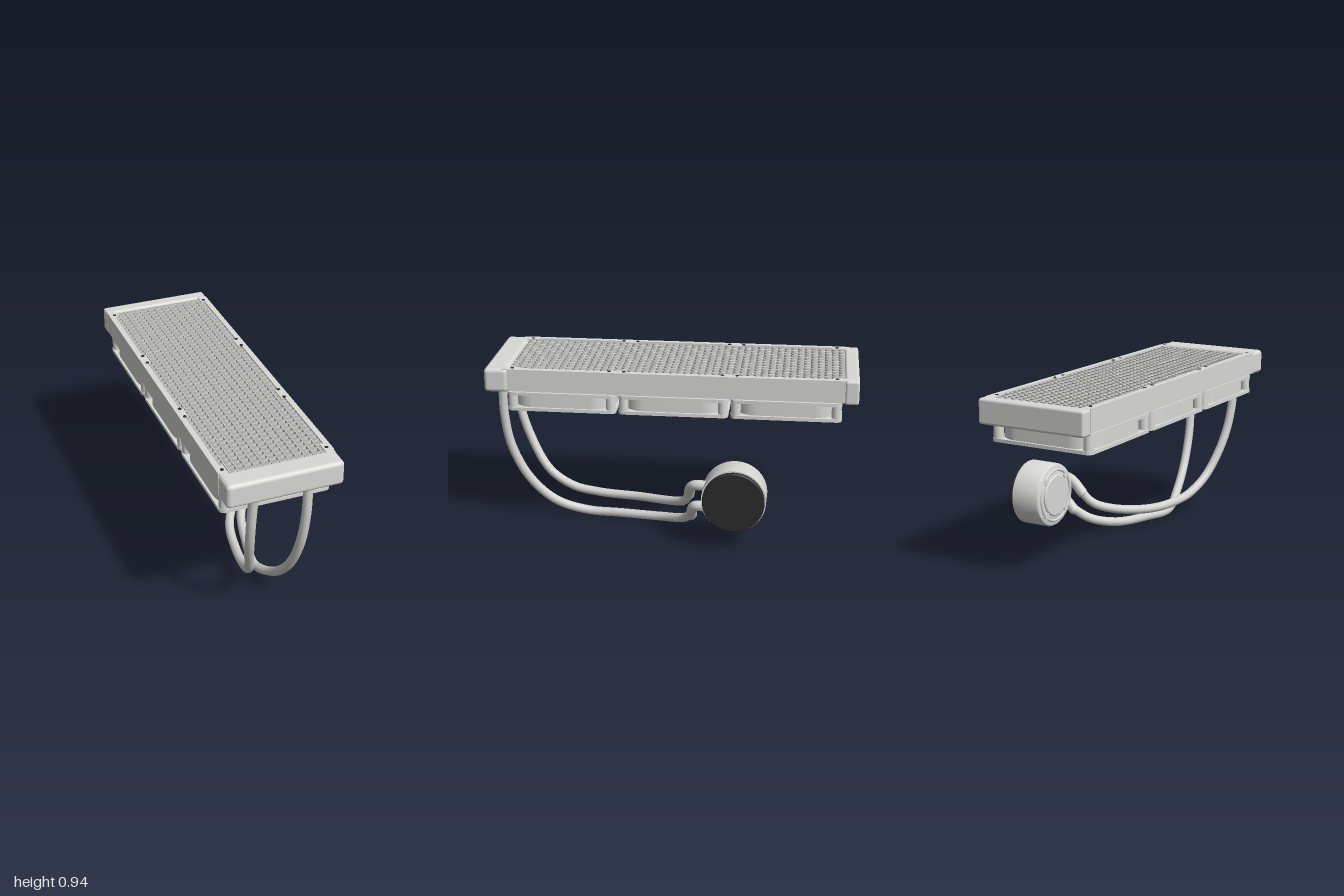
import * as THREE from 'three';
import { toCreasedNormals } from 'three/addons/utils/BufferGeometryUtils.js';
import { RoundedBoxGeometry } from 'three/addons/geometries/RoundedBoxGeometry.js';

const CX = -0.078;                       // centre line of radiator and fans
const FAN_Z = [0.585, -0.018, -0.62];

const shell = new THREE.MeshStandardMaterial({ name: 'pale grey', color: 0xd9d9d6 });
const sheet = new THREE.MeshStandardMaterial({ name: 'pale grey sheet', color: 0xd2d2cf, side: THREE.DoubleSide });
const dark = new THREE.MeshStandardMaterial({ name: 'charcoal', color: 0x2c2c2c });
const teal = new THREE.MeshStandardMaterial({ name: 'teal', color: 0x1f7f7a });

function add(parent, name, geometry, material, x = 0, y = 0, z = 0) {
  const mesh = new THREE.Mesh(geometry, material);
  mesh.name = name;
  mesh.position.set(x, y, z);
  parent.add(mesh);
  return mesh;
}

function box(parent, name, w, h, d, x, y, z, material = shell) {
  return add(parent, name, new THREE.BoxGeometry(w, h, d), material, x, y, z);
}

// Solid of revolution from [radius, height] pairs
function lathe(pairs, segments = 40) {
  const points = pairs.map(([r, h]) => new THREE.Vector2(r, h));
  return toCreasedNormals(new THREE.LatheGeometry(points, segments), 0.6);
}

// Rounded square with a round hole, lying flat with its base at y = 0
function squarePlate(half, corner, hole, height) {
  const s = new THREE.Shape(), a = half - corner;
  s.absarc(a, a, corner, 0, Math.PI / 2);
  s.absarc(-a, a, corner, Math.PI / 2, Math.PI);
  s.absarc(-a, -a, corner, Math.PI, Math.PI * 1.5);
  s.absarc(a, -a, corner, Math.PI * 1.5, Math.PI * 2);
  s.holes.push(new THREE.Path().absarc(0, 0, hole, 0, Math.PI * 2, true));
  const g = new THREE.ExtrudeGeometry(s, { depth: height, bevelEnabled: false, curveSegments: 24 });
  return toCreasedNormals(g.rotateX(-Math.PI / 2), 0.6);
}

// Curved sheet swept from the hub to the ring
function bladeGeometry(r0, r1, sweep, width, y0, y1) {
  const g = new THREE.PlaneGeometry(1, 1, 8, 4), p = g.attributes.position;
  for (let i = 0; i < p.count; i++) {
    const t = p.getX(i) + 0.5, v = p.getY(i) + 0.5;
    const r = r0 + (r1 - r0) * t;
    const a = sweep * t + (v - 0.5) * width;
    p.setXYZ(i, r * Math.cos(a), y0 + (y1 - y0) * v, r * Math.sin(a));
  }
  g.computeVertexNormals();
  return g;
}

function makeRadiator() {
  const radiator = new THREE.Group();
  radiator.name = 'radiator';

  // End tanks
  add(radiator, 'frontTank', new RoundedBoxGeometry(0.616, 0.132, 0.128, 4, 0.022), shell, CX, 0.879, 0.936);
  add(radiator, 'backTank', new RoundedBoxGeometry(0.616, 0.132, 0.075, 4, 0.014), shell, CX, 0.879, -0.9625);

  // Side rails with folded lips and screw tabs
  const midZ = -0.0275, length = 1.8;
  for (const s of [-1, 1]) {
    box(radiator, 'sideRail', 0.012, 0.122, length, CX + s * 0.299, 0.884, midZ);
    for (const y of [0.827, 0.941])
      box(radiator, 'railLip', 0.03, 0.008, length, CX + s * 0.29, y, midZ);
    for (const z of [0.855, 0.284, -0.319, -0.905])
      box(radiator, 'screwTab', 0.045, 0.006, 0.09, CX + s * 0.278, 0.942, z);
    for (const fz of FAN_Z) for (const dz of [-0.262, 0.262])
      add(radiator, 'screw', new THREE.CylinderGeometry(0.01, 0.01, 0.004, 12), dark, CX + s * 0.275, 0.945, fz + dz);
  }

  // Flat water channels with folded fins between them
  const gaps = 13, pitch = 0.572 / gaps, finH = 0.1, finY = 0.884, folds = 96;
  let fin = new THREE.PlaneGeometry(length, finH, folds, 1).rotateY(Math.PI / 2);
  const p = fin.attributes.position;
  for (let i = 0; i < p.count; i++)
    p.setX(i, ((i % (folds + 1)) % 2 ? 0.5 : -0.5) * pitch);
  fin = fin.toNonIndexed();
  fin.computeVertexNormals();
  const channel = new THREE.BoxGeometry(0.004, finH, length);
  for (let i = 0; i < gaps; i++) {
    const x = CX - 0.286 + pitch * (i + 0.5);
    add(radiator, 'foldedFin', fin, sheet, x, finY, midZ);
    if (i) add(radiator, 'waterChannel', channel, shell, x - pitch / 2, finY, midZ);
  }
  return radiator;
}

function makeFan(z) {
  const fan = new THREE.Group();
  fan.name = 'fan';
  fan.position.set(CX, 0.71, z);

  // Frame: two flanges, a recessed wall, and corner posts
  const flange = squarePlate(0.295, 0.03, 0.272, 0.018);
  add(fan, 'lowerFlange', flange, shell, 0, 0, 0);
  add(fan, 'upperFlange', flange, shell, 0, 0.086, 0);
  add(fan, 'frameWall', squarePlate(0.282, 0.13, 0.27, 0.07), shell, 0, 0.017, 0);
  const post = new THREE.CylinderGeometry(0.026, 0.026, 0.07, 16);
  for (const sx of [-1, 1]) for (const sz of [-1, 1])
    add(fan, 'cornerPost', post, shell, sx * 0.266, 0.052, sz * 0.266);

  // Hub cup with its dark cap, circuit plate and chip
  add(fan, 'hub', lathe([[0, 0.014], [0.085, 0.014], [0.095, 0.024], [0.095, 0.09],
    [0.068, 0.09], [0.066, 0.072], [0, 0.072]]), shell);
  add(fan, 'hubCap', new THREE.CylinderGeometry(0.075, 0.075, 0.008, 32), dark, 0, 0.011, 0);
  box(fan, 'circuitPlate', 0.094, 0.006, 0.094, 0, 0.076, 0, dark);
  box(fan, 'chip', 0.026, 0.004, 0.026, -0.008, 0.081, -0.018, teal);

  // Swept blades and thin guide struts
  const blade = bladeGeometry(0.09, 0.262, 0.75, 0.6, 0.02, 0.074);
  const strut = bladeGeometry(0.09, 0.274, -0.5, 0.03, 0.084, 0.096);
  for (let i = 0; i < 9; i++)
    add(fan, 'blade', blade, sheet).rotation.y = (i / 9) * Math.PI * 2;
  for (let i = 0; i < 8; i++)
    add(fan, 'strut', strut, sheet).rotation.y = (i / 8) * Math.PI * 2;
  return fan;
}

function makePump() {
  const pump = new THREE.Group();
  pump.name = 'pump';
  pump.position.set(0, 0.295, -0.36);
  const turn = (g) => g.rotateZ(-Math.PI / 2);   // lathe axis onto x
  add(pump, 'pumpBody', turn(lathe([[0, 0.2], [0.155, 0.2], [0.168, 0.205], [0.174, 0.217],
    [0.174, 0.364], [0, 0.364]], 48)), shell);
  add(pump, 'pumpCap', turn(lathe([[0, 0.36], [0.167, 0.36], [0.167, 0.382], [0.162, 0.388], [0, 0.388]], 48)), dark);
  add(pump, 'contactPlate', turn(lathe([[0, 0.19], [0.108, 0.19], [0.113, 0.194], [0.113, 0.203]], 40)), shell);
  add(pump, 'mountRing', new THREE.TorusGeometry(0.14, 0.007, 8, 40).rotateY(Math.PI / 2), shell, 0.199, 0, 0);
  for (let i = 0; i < 4; i++) {
    const a = Math.PI / 4 + i * Math.PI / 2;
    add(pump, 'mountLug', new THREE.CylinderGeometry(0.018, 0.018, 0.012, 16).rotateZ(Math.PI / 2), shell,
      0.198, 0.132 * Math.sin(a), 0.132 * Math.cos(a));
  }
  return pump;
}

// Hose from the front tank, with a neck at the top and an elbow at the pump
function makeHose(path, elbow) {
  const hose = new THREE.Group();
  hose.name = 'hose';
  const tube = (name, pts, r, n) => {
    const curve = new THREE.CatmullRomCurve3(pts.map((q) => new THREE.Vector3(...q)));
    add(hose, name, new THREE.TubeGeometry(curve, n, r, 12), sheet);
  };
  tube('hoseTube', path, 0.025, 60);
  tube('hoseElbow', elbow, 0.029, 16);
  const [x, , z] = path[0];
  add(hose, 'hoseNeck', new THREE.CylinderGeometry(0.018, 0.018, 0.05, 16), shell, x, 0.8, z);
  add(hose, 'hoseEnd', new THREE.CircleGeometry(0.025, 12).rotateX(-Math.PI / 2), sheet, x, path[0][1], z);
  const [ex, ey, ez] = elbow[0];
  add(hose, 'elbowCollar', new THREE.SphereGeometry(0.029, 12, 8), shell, ex, ey, ez);
  return hose;
}

export function createModel() {
  const model = new THREE.Group();
  model.name = 'liquidCooler';
  model.add(makeRadiator());
  for (const z of FAN_Z) model.add(makeFan(z));
  model.add(makePump());
  model.add(makeHose(
    [[-0.225, 0.795, 0.937], [-0.23, 0.62, 0.92], [-0.212, 0.42, 0.86], [-0.165, 0.22, 0.74],
      [-0.135, 0.135, 0.6], [-0.115, 0.11, 0.45], [-0.06, 0.115, 0.2], [0.06, 0.15, 0],
      [0.14, 0.19, -0.075], [0.2, 0.26, -0.11]],
    [[0.19, 0.25, -0.107], [0.245, 0.315, -0.12], [0.275, 0.342, -0.15], [0.285, 0.345, -0.22]]));
  model.add(makeHose(
    [[0.065, 0.795, 0.937], [0.06, 0.63, 0.935], [0.047, 0.44, 0.905], [0.03, 0.24, 0.81],
      [0.005, 0.1, 0.67], [-0.03, 0.032, 0.5], [0.0, 0.036, 0.3], [0.07, 0.056, 0.05],
      [0.16, 0.095, -0.07], [0.245, 0.16, -0.13]],
    [[0.235, 0.15, -0.125], [0.295, 0.215, -0.135], [0.325, 0.243, -0.155], [0.33, 0.245, -0.22]]));
  return model;
}
